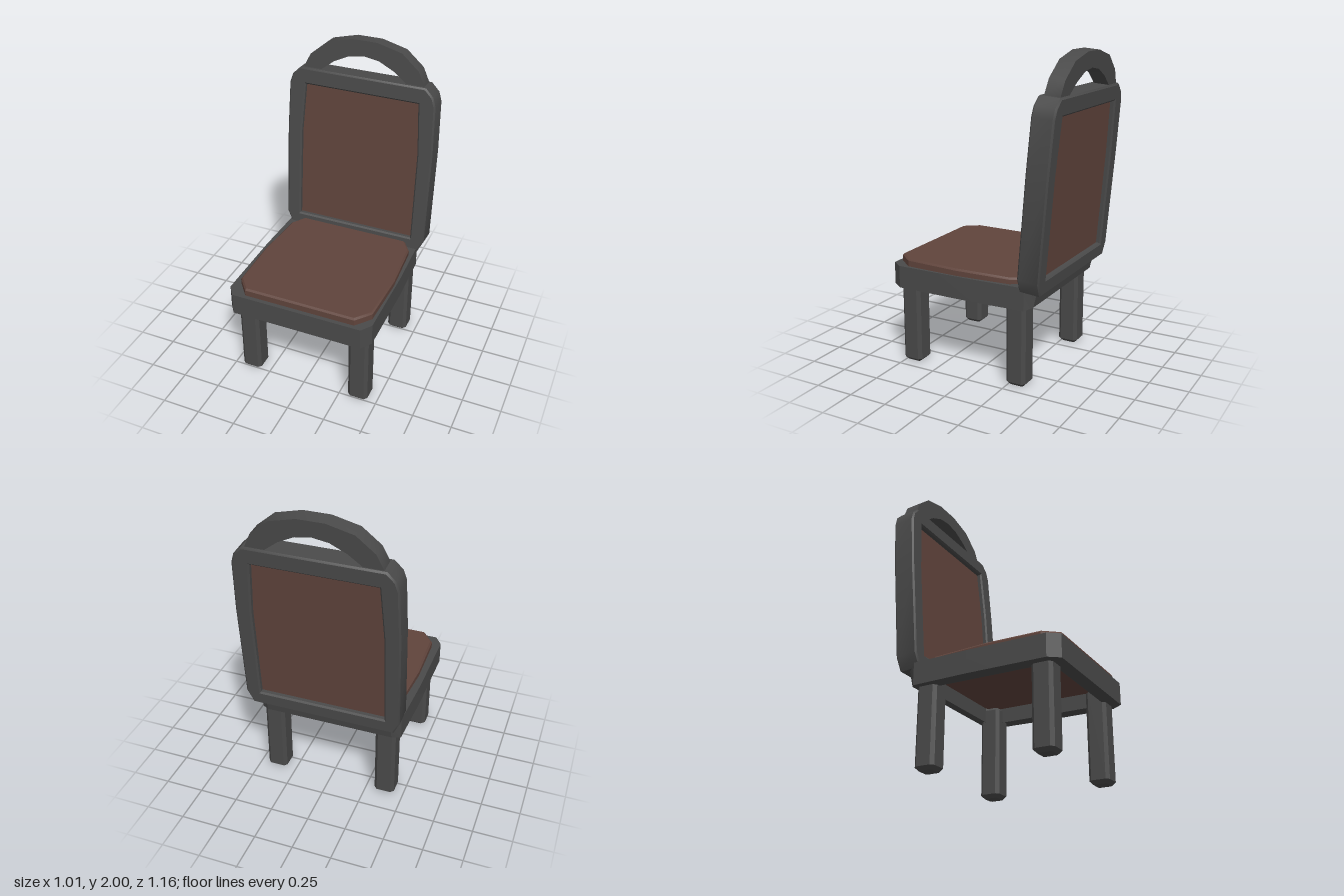
import * as THREE from 'three';
import { toCreasedNormals } from 'three/addons/utils/BufferGeometryUtils.js';

const frameGrey = new THREE.MeshStandardMaterial({ color: 0x4a4a4a });
frameGrey.name = 'dark grey frame';
const leather = new THREE.MeshStandardMaterial({ color: 0x60443c });
leather.name = 'brown upholstery';

const toVectors = (pts) => pts.map(([x, y]) => new THREE.Vector2(x, y));

// Mirror a right-hand half outline (listed bottom to top) across x = 0
const mirrored = (half) => [...half, ...half.map(([x, y]) => [-x, y]).reverse()];

// Extrude an outline to a total depth, with chamfered rims kept inside the outline
function slab(outline, depth, bevel = 0, hole = null) {
  const shape = new THREE.Shape(toVectors(outline));
  if (hole) shape.holes.push(new THREE.Path(toVectors(hole)));
  const geo = new THREE.ExtrudeGeometry(shape, {
    depth: depth - 2 * bevel,
    bevelEnabled: bevel > 0,
    bevelThickness: bevel,
    bevelSize: bevel,
    bevelOffset: -bevel,
    bevelSegments: 1,
    curveSegments: 1,
  });
  return geo.translate(0, 0, bevel);
}

// Lay a slab flat: outline y becomes -z, depth becomes height from y
const flat = (geo, y) => geo.rotateX(-Math.PI / 2).translate(0, y, 0);

// Move each vertex by a rule
function reshape(geo, rule) {
  const pos = geo.attributes.position;
  const v = new THREE.Vector3();
  for (let i = 0; i < pos.count; i++) {
    rule(v.fromBufferAttribute(pos, i));
    pos.setXYZ(i, v.x, v.y, v.z);
  }
  return geo;
}

// Add a mesh whose gentle bends are smooth and whose corners stay sharp
function part(name, geo, material, parent) {
  const mesh = new THREE.Mesh(toCreasedNormals(geo, 0.55), material);
  mesh.name = name;
  parent.add(mesh);
  return mesh;
}

export function createModel() {
  const chair = new THREE.Group();
  chair.name = 'chair';

  // Four chamfered legs
  const a = 0.066, c = 0.046;
  const legOutline = mirrored([[c, -a], [a, -c], [a, c], [c, a]]);
  for (const [end, z] of [['front', 0.447], ['rear', -0.302]]) {
    for (const [side, x] of [['Left', 0.376], ['Right', -0.376]]) {
      const leg = part(end + side + 'Leg', flat(slab(legOutline, 0.6, 0.022), 0), frameGrey, chair);
      leg.position.set(x, 0, z);
    }
  }

  // Open seat frame, its rear rail tucked in at the bottom
  const seatOutline = mirrored([
    [0.43, -0.577], [0.48, -0.507], [0.48, 0], [0.466, 0.368], [0.415, 0.436],
  ]);
  const seatHole = mirrored([
    [0.33, -0.49], [0.385, -0.43], [0.385, 0.27], [0.33, 0.33],
  ]);
  const seatGeo = reshape(flat(slab(seatOutline, 0.143, 0, seatHole), 0.502), (v) => {
    if (v.z < -0.4 && v.y < 0.55) {
      v.z += 0.03;
      v.y += 0.014;
    }
  });
  part('seatFrame', seatGeo, frameGrey, chair).position.x = -0.014;

  // Seat cushion, also seen as the panel underneath; it falls slightly to the rear
  const cushionOutline = mirrored([
    [0.365, -0.55], [0.445, -0.452], [0.455, -0.1], [0.43, 0.26], [0.345, 0.39],
  ]);
  const cushionGeo = reshape(flat(slab(cushionOutline, 0.096, 0.011), 0.598), (v) => {
    if (v.y > 0.65) v.y += 0.014 * (v.z - 0.5);
  });
  part('seatCushion', cushionGeo, leather, chair);

  // Reclined backrest
  const back = new THREE.Group();
  back.name = 'backrest';
  back.position.set(0, 0.628, -0.41);
  back.rotation.x = -0.084;
  chair.add(back);

  const backOutline = mirrored([
    [0.46, -0.01], [0.5, 0.075], [0.503, 0.7], [0.493, 1.03], [0.474, 1.09], [0.422, 1.142],
  ]);
  const backHole = mirrored([[0.404, 0.084], [0.404, 0.7], [0.382, 1.034]]);
  part('backFrame', slab(backOutline, 0.145, 0.01, backHole).translate(0, 0, -0.0725), frameGrey, back);

  // Recessed panel, visible from front and rear
  part('backPanel', new THREE.BoxGeometry(0.86, 1.0, 0.08).translate(0, 0.558, 0), leather, back);

  // Arched carrying handle
  const outerArch = [[0.405, 1.12], [0.405, 1.142], [0.362, 1.232], [0.248, 1.328], [0.083, 1.37]];
  const innerArch = [[0, 1.272], [0.1, 1.256], [0.2, 1.207], [0.285, 1.142], [0.285, 1.12]];
  const arch = [
    ...mirrored(outerArch),
    ...innerArch.slice(1).map(([x, y]) => [-x, y]).reverse(),
    ...innerArch,
  ];
  part('handle', slab(arch, 0.1).translate(0, 0, -0.056), frameGrey, back);

  return chair;
}
